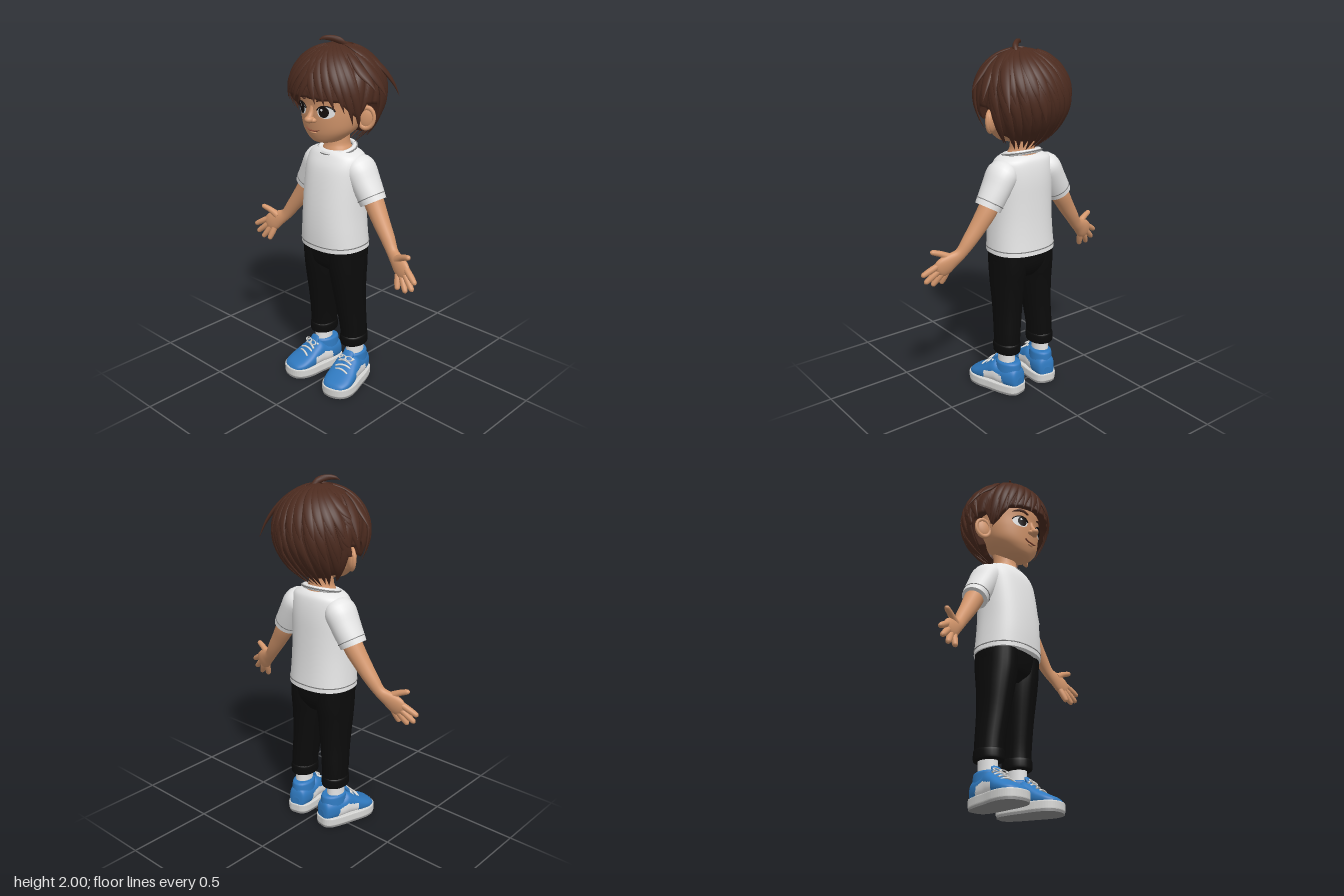
import * as THREE from 'three';
import { mergeGeometries } from 'three/addons/utils/BufferGeometryUtils.js';

const V = (x, y, z) => new THREE.Vector3(x, y, z);
const Y = V(0, 1, 0), Z = V(0, 0, 1);

const material = (name, color) => {
  const m = new THREE.MeshStandardMaterial({ color });
  m.name = name;
  return m;
};

// Smoothly resample rows of numbers
function dense(rows, sub) {
  const out = [], at = i => rows[Math.min(rows.length - 1, Math.max(0, i))];
  const cr = (a, b, c, d, t) => b + 0.5 * t * (c - a + t * (2 * a - 5 * b + 4 * c - d + t * (3 * (b - c) + d - a)));
  for (let i = 0; i < rows.length - 1; i++)
    for (let k = 0; k < sub; k++)
      out.push(rows[i].map((_, q) => cr(at(i - 1)[q], at(i)[q], at(i + 1)[q], at(i + 2)[q], k / sub)));
  out.push(rows[rows.length - 1]);
  return out;
}

// Closed skin over elliptical sections; each row is x, y, z, side radius, radius towards ref
function limb(rows, { sides = 24, n = 2, ref = Z, sub = 4, dir = null } = {}) {
  const r = dense(rows, sub), pos = [], idx = [], P = q => V(q[0], q[1], q[2]);
  const pw = c => Math.sign(c) * Math.abs(c) ** (2 / n);
  r.forEach((q, i) => {
    const t = dir || P(r[Math.min(i + 1, r.length - 1)]).sub(P(r[Math.max(i - 1, 0)])).normalize();
    const u = t.clone().cross(ref).normalize(), v = u.clone().cross(t);
    for (let j = 0; j < sides; j++) {
      const a = j / sides * Math.PI * 2;
      const p = P(q).addScaledVector(u, pw(Math.sin(a)) * Math.max(0, q[3])).addScaledVector(v, pw(Math.cos(a)) * Math.max(0, q[4]));
      pos.push(p.x, p.y, p.z);
    }
  });
  for (let i = 0; i < r.length - 1; i++)
    for (let j = 0; j < sides; j++) {
      const a = i * sides + j, b = i * sides + (j + 1) % sides;
      idx.push(a, b, a + sides, b, b + sides, a + sides);
    }
  for (const end of [0, r.length - 1]) {
    const base = pos.length / 3;
    pos.push(...pos.slice(end * sides * 3, (end + 1) * sides * 3), r[end][0], r[end][1], r[end][2]);
    for (let j = 0; j < sides; j++) {
      const a = base + j, b = base + (j + 1) % sides;
      idx.push(base + sides, end ? a : b, end ? b : a);
    }
  }
  return build(pos, idx);
}

function build(pos, idx) {
  const g = new THREE.BufferGeometry();
  g.setAttribute('position', new THREE.Float32BufferAttribute(pos, 3));
  g.setIndex(idx);
  g.computeVertexNormals();
  return g;
}

// Sort triangles into two material groups by their centre
function paint(g, rule) {
  const p = g.attributes.position, sets = [[], []], id = g.index.array;
  for (let i = 0; i < id.length; i += 3) {
    const t = [id[i], id[i + 1], id[i + 2]], mid = f => (f(t[0]) + f(t[1]) + f(t[2])) / 3;
    sets[rule(mid(k => p.getY(k)), mid(k => p.getZ(k))) ? 1 : 0].push(...t);
  }
  g.setIndex(sets.flat());
  g.addGroup(0, sets[0].length, 0);
  g.addGroup(sets[0].length, sets[1].length, 1);
  return g;
}

// Horizontal section from half width, front z and back z
const sec = (y, rx, f, b, x = 0) => [x, y, (f + b) / 2, rx, (f - b) / 2];
const ball = (x, y, z, a, b, c) => new THREE.SphereGeometry(1, 24, 16).scale(a, b, c).translate(x, y, z).deleteAttribute('uv');
const lerp = THREE.MathUtils.lerp;

const headRows = [sec(1.452, 0.03, 0.13, 0.05), sec(1.465, 0.08, 0.16, 0.01), sec(1.5, 0.127, 0.178, -0.04),
  sec(1.54, 0.16, 0.187, -0.09), sec(1.6, 0.18, 0.194, -0.14), sec(1.66, 0.19, 0.196, -0.17),
  sec(1.74, 0.195, 0.205, -0.2), sec(1.82, 0.18, 0.18, -0.18), sec(1.9, 0.11, 0.11, -0.11), sec(1.93, 0.02, 0.02, -0.02)];
const headFine = dense(headRows, 6);
function headZ(x, y) {
  const i = Math.max(1, headFine.findIndex(r => r[1] >= y)), a = headFine[i - 1], b = headFine[i];
  const t = (y - a[1]) / (b[1] - a[1]), q = a.map((v, k) => lerp(v, b[k], t));
  return q[2] + q[4] * Math.sqrt(Math.max(0, 1 - (x / q[3]) ** 2));
}
// Thin disc and thin line laid on the face
function facePatch(cx, cy, rx, ry, lift) {
  const g = new THREE.RingGeometry(0.001, 1, 32, 5).scale(rx, ry, 1).translate(cx, cy, 0), p = g.attributes.position;
  for (let i = 0; i < p.count; i++) p.setZ(i, headZ(p.getX(i), p.getY(i)) + lift);
  g.computeVertexNormals();
  return g;
}
const faceLine = pts => limb(pts.map(([x, y, w]) => [x, y, headZ(x, y) + 0.003, w, 0.006]), { sides: 10 });

// Hair surface: azimuth from the front, u from crown (0) to hem (1)
const hem = [[0, 1.715], [45, 1.7], [62, 1.63], [72, 1.6], [80, 1.68], [100, 1.67], [112, 1.53], [140, 1.49], [181, 1.48]];
function hairPoint(phi, u, grow = 1) {
  const d = Math.abs(Math.atan2(Math.sin(phi), Math.cos(phi))) * 180 / Math.PI;
  const i = hem.findIndex(h => h[0] > d), a = hem[i - 1], b = hem[i];
  const h = lerp(a[1], b[1], (d - a[0]) / (b[0] - a[0]));
  const y = h + (1.962 - h) * Math.cos(u * Math.PI / 2), e = y - 1.72;
  const k = e > 0 ? Math.sqrt(Math.max(0, 1 - (e / 0.2421) ** 2)) : Math.max(0.2, 1 - 10.5 * e * e);
  return V(0.25 * (e > 0 ? k : k ** 0.6) * Math.sin(phi) * grow, y, 0.25 * k * Math.cos(phi) * grow);
}
function hairCap() {
  const cols = 180, rows = 26, pos = [], idx = [];
  for (let i = 0; i <= rows + 1; i++)
    for (let j = 0; j < cols; j++) {
      const phi = j / cols * Math.PI * 2, u = Math.min(1, i / rows);
      const groove = (1 - Math.abs(Math.sin(11 * (phi + 0.5 * u) + Math.sin(3 * phi)))) ** 2;
      const p = hairPoint(phi, u, i > rows ? 0.72 : 1 - 0.05 * groove * Math.min(1, u * 3));
      pos.push(p.x, p.y + (i > rows ? 0.02 : 0), p.z);
    }
  for (let i = 0; i <= rows; i++)
    for (let j = 0; j < cols; j++) {
      const a = i * cols + j, b = i * cols + (j + 1) % cols;
      idx.push(a + cols, b + cols, a, b + cols, b, a);
    }
  return build(pos, idx);
}
// Tapered lock lying on the hair; flick lifts its tip
function lock(phi0, phi1, u0, u1, w, flick) {
  const rows = [], c = V(0, 1.7, 0), mid = hairPoint((phi0 + phi1) / 2, (u0 + u1) / 2).sub(c).normalize();
  for (let k = 0; k <= 7; k++) {
    const f = k / 7, p = hairPoint(lerp(phi0, phi1, f), lerp(u0, u1, f));
    p.addScaledVector(p.clone().sub(c).normalize(), 0.002 + flick * f ** 3);
    const s = w * (1 - f ** 2.2) * (0.3 + 1.1 * f);
    rows.push([p.x, p.y, p.z, s, s * 0.38]);
  }
  return limb(rows, { sides: 10, ref: mid, sub: 3 });
}

export function createModel() {
  const root = new THREE.Group();
  root.name = 'boy';
  const skin = material('skin', 0xd3966c), brown = material('hair brown', 0x4c2b1f), white = material('white', 0xe6e6e6),
    black = material('trouser black', 0x0b0b0b), blue = material('shoe blue', 0x2f79bf), soleWhite = material('sole white', 0xd6d6d4),
    grey = material('outsole grey', 0x8e8e8e), dark = material('eye dark', 0x120d0b), lip = material('lip', 0x8a4c38),
    seam = material('seam grey', 0x808080);
  const add = (name, geo, mat, parent = root) => {
    const m = new THREE.Mesh(geo, mat);
    m.name = name;
    parent.add(m);
  };

  // Head and neck
  add('head', limb(headRows, { sides: 48, dir: Y, sub: 6 }), skin);
  add('neck', limb([sec(1.36, 0.1, 0.09, -0.09), sec(1.405, 0.082, 0.075, -0.08), sec(1.44, 0.068, 0.066, -0.07), sec(1.53, 0.068, 0.06, -0.07)], { dir: Y }), skin);
  add('nose', mergeGeometries([ball(0, 1.592, 0.209, 0.024, 0.02, 0.03),
    ...[-1, 1].map(s => ball(s * 0.02, 1.587, 0.198, 0.014, 0.013, 0.016)),
    limb([[0, 1.66, 0.185, 0.014, 0.014], [0, 1.625, 0.195, 0.014, 0.015], [0, 1.595, 0.212, 0.017, 0.018]])]), skin);
  add('mouth', faceLine([[-0.048, 1.538, 0.001], [-0.025, 1.528, 0.003], [0, 1.527, 0.004], [0.025, 1.528, 0.003], [0.048, 1.538, 0.001]]), lip);
  add('lowerLip', ball(0, 1.517, 0.178, 0.025, 0.008, 0.011), skin);

  // Hair
  const rnd = (seed => () => (seed = (seed * 16807) % 2147483647) / 2147483647)(77);
  const locks = [];
  for (let i = 0; i < 13; i++) {
    const a = lerp(-1.15, 1.15, i / 12), away = a < 0.15 ? -0.3 : 0.3;
    locks.push(lock(a - away * 1.3, a + away * 0.4, 0.15, 1.03 + 0.07 * rnd(), 0.036, 0.012));
  }
  for (let layer = 0; layer < 3; layer++)
    for (let i = 0; i < 13; i++) {
      const a = lerp(1.75, 4.53, (i + layer * 0.33) / 12.66) + 0.08 * rnd();
      locks.push(lock(a - 0.25, a + 0.15, 0.15 + 0.12 * layer, 0.68 + 0.17 * layer + 0.05 * rnd(), 0.042, 0.016));
    }
  for (const s of [-1, 1])
    locks.push(lock(s * 1.2, s * 1.45, 0.3, 0.84, 0.045, 0.05), lock(s * 1.5, s * 1.75, 0.35, 0.9, 0.045, 0.045),
      lock(s * 1.0, s * 1.2, 0.4, 1.05, 0.035, 0.01), lock(s * 1.75, s * 2.0, 0.5, 1.04, 0.04, 0.02));
  locks.push(lock(1.9, 2.3, 0.2, 0.74, 0.045, 0.08), lock(2.7, 3.0, 0.4, 0.82, 0.04, 0.03));
  add('hair', hairCap(), brown);
  add('hairLocks', mergeGeometries(locks), brown);
  add('cowlick', limb([[0.05, 1.94, -0.02, 0.012, 0.012], [0.035, 1.972, 0.01, 0.018, 0.014], [0, 1.988, 0.04, 0.016, 0.01],
    [-0.035, 1.988, 0.065, 0.01, 0.007], [-0.055, 1.976, 0.08, 0.001, 0.001]], { sides: 10 }), brown);

  // Shirt body, collar and seams
  add('shirt', limb([sec(0.85, 0.195, 0.18, -0.148), sec(0.95, 0.188, 0.182, -0.14), sec(1.05, 0.182, 0.178, -0.135),
    sec(1.15, 0.18, 0.168, -0.133), sec(1.25, 0.18, 0.152, -0.132), sec(1.32, 0.178, 0.134, -0.126),
    sec(1.37, 0.165, 0.108, -0.115), sec(1.392, 0.13, 0.092, -0.1), sec(1.402, 0.095, 0.078, -0.085)], { sides: 48, n: 2.3, dir: Y }), white);
  add('hemSeam', limb([sec(0.873, 0.196, 0.183, -0.149), sec(0.878, 0.196, 0.183, -0.149)], { sides: 48, n: 2.3, dir: Y, sub: 1 }), seam);
  const neckRing = (r, w, y) => new THREE.TorusGeometry(r, w, 10, 48).rotateX(Math.PI / 2 + 0.2).scale(1, 1, 0.88).translate(0, y, 0);
  add('collar', neckRing(0.1, 0.013, 1.403), white);
  add('collarSeam', neckRing(0.116, 0.004, 1.403), seam);

  // Hips
  add('hips', limb([sec(0.7, 0.06, 0.08, -0.07), sec(0.74, 0.15, 0.125, -0.1), sec(0.79, 0.182, 0.14, -0.118), sec(0.87, 0.185, 0.15, -0.12)], { sides: 40, n: 2.4, dir: Y }), black);

  for (const s of [-1, 1]) {
    const side = s > 0 ? 'left' : 'right', flip = rows => rows.map(([x, ...q]) => [x * s, ...q]);
    const part = (name, rows, mat, o) => add(side + name, limb(flip(rows), o), mat);

    // Eye, brow and ear
    add(side + 'EyeWhite', facePatch(s * 0.084, 1.635, 0.043, 0.032, 0.003), white);
    add(side + 'Iris', facePatch(s * 0.077, 1.638, 0.026, 0.03, 0.006), dark);
    add(side + 'EyeGlint', facePatch(s * 0.077 - 0.009, 1.649, 0.006, 0.007, 0.008), white);
    add(side + 'Eyelid', faceLine([0, 1, 2, 3, 4, 5, 6].map(k => {
      const a = 0.25 + k * 0.44;
      return [s * 0.084 + 0.045 * Math.cos(a), 1.635 + 0.034 * Math.sin(a), 0.003];
    })), dark);
    add(side + 'Brow', faceLine(flip([[0.042, 1.692, 0.004], [0.075, 1.705, 0.009], [0.105, 1.703, 0.007], [0.132, 1.69, 0.001]])), brown);
    const ear = new THREE.Group();
    ear.name = side + 'Ear';
    ear.position.set(s * 0.203, 1.597, -0.005);
    ear.rotation.set(0, s * 0.55, -s * 0.15);
    root.add(ear);
    add(side + 'EarBody', ball(0, 0, 0, 0.045, 0.06, 0.02), skin, ear);
    add(side + 'EarRim', new THREE.TorusGeometry(0.045, 0.011, 10, 32).scale(0.9, 1.2, 1).translate(0, 0, 0.008), skin, ear);

    // Sleeve
    part('Sleeve', [[0.1, 1.34, -0.015, 0.04, 0.06], [0.142, 1.312, -0.018, 0.079, 0.095], [0.19, 1.235, -0.02, 0.077, 0.089], [0.247, 1.137, -0.02, 0.073, 0.074]], white, { sides: 32 });
    part('SleeveSeam', [[0.2305, 1.165, -0.02, 0.0765, 0.0805], [0.233, 1.161, -0.02, 0.0765, 0.08]], seam, { sides: 32, sub: 1 });

    // Arm, palm and fingers
    part('Arm', [[0.2, 1.22, -0.025, 0.055, 0.055], [0.25, 1.13, -0.025, 0.054, 0.055], [0.31, 1.04, -0.015, 0.047, 0.046],
      [0.365, 0.965, -0.005, 0.04, 0.038], [0.41, 0.905, 0.008, 0.034, 0.029], [0.455, 0.873, 0.024, 0.045, 0.028],
      [0.495, 0.845, 0.036, 0.055, 0.026], [0.525, 0.822, 0.044, 0.046, 0.019], [0.537, 0.813, 0.047, 0.02, 0.008]], skin);
    const fingers = [['Index', 0.535, 0.853, 0.62, 0.802], ['Middle', 0.522, 0.828, 0.602, 0.757], ['Ring', 0.503, 0.812, 0.557, 0.733],
      ['Little', 0.478, 0.808, 0.5, 0.733], ['Thumb', 0.46, 0.885, 0.568, 0.932]];
    for (const [name, x0, y0, x1, y1] of fingers) {
      const thumb = name === 'Thumb', z0 = thumb ? 0.03 : 0.042;
      const at = (f, r) => [lerp(x0, x1, f), lerp(y0, y1, f) + (thumb ? 0.008 * Math.sin(f * 3.1) : 0), z0 + 0.03 * f, r, r];
      part(name + 'Finger', [at(0, thumb ? 0.024 : 0.017), at(0.4, 0.0175), at(0.8, 0.015), at(0.93, 0.0115), at(1, 0.002)], skin, { sides: 14 });
    }

    // Trouser leg, cuff and sock
    part('TrouserLeg', [sec(0.255, 0.067, 0.066, -0.094, 0.12), sec(0.35, 0.069, 0.072, -0.094, 0.117), sec(0.5, 0.075, 0.095, -0.093, 0.106),
      sec(0.65, 0.086, 0.122, -0.1, 0.098), sec(0.75, 0.09, 0.138, -0.113, 0.094), sec(0.86, 0.09, 0.145, -0.115, 0.094)], black, { dir: Y, n: 2.2 });
    part('Cuff', [sec(0.245, 0.068, 0.068, -0.096, 0.12), sec(0.255, 0.074, 0.074, -0.1, 0.12), sec(0.295, 0.074, 0.074, -0.1, 0.12), sec(0.305, 0.068, 0.068, -0.096, 0.12)], black, { dir: Y });
    part('Sock', [sec(0.1, 0.047, 0.045, -0.075, 0.125), sec(0.2, 0.045, 0.042, -0.072, 0.125), sec(0.28, 0.047, 0.042, -0.074, 0.125)], white, { dir: Y });

    // Shoe, toe turned out
    const shoe = new THREE.Group();
    shoe.name = side + 'Shoe';
    shoe.position.x = s * 0.125;
    shoe.rotation.y = s * 0.2;
    root.add(shoe);
    const prof = [[-0.118, 0.1, 0.025], [-0.105, 0.15, 0.05], [-0.06, 0.165, 0.066], [0, 0.165, 0.073], [0.04, 0.183, 0.076],
      [0.08, 0.162, 0.08], [0.13, 0.127, 0.086], [0.18, 0.1, 0.083], [0.22, 0.08, 0.062], [0.238, 0.06, 0.03]];
    const upper = limb(prof.map(([z, top, r]) => [0, (top + 0.03) / 2, z, r, (top - 0.03) / 2]), { sides: 64, n: 2.4, ref: Y, dir: Z, sub: 8 });
    add('upper', paint(upper, (y, z) => y < 0.122 - 0.25 * Math.abs(z - 0.03) && z > -0.04 + 0.2 * (y - 0.05) && z < 0.1), [blue, white], shoe);
    add('ankleCollar', limb([sec(0.11, 0.066, 0.06, -0.112), sec(0.165, 0.062, 0.055, -0.108), sec(0.182, 0.059, 0.052, -0.104), sec(0.19, 0.05, 0.042, -0.092)], { dir: Y }), blue, shoe);
    add('tongue', limb([[0, 0.13, 0.09, 0.038, 0.02], [0, 0.175, 0.06, 0.036, 0.016], [0, 0.202, 0.045, 0.03, 0.01], [0, 0.206, 0.042, 0.01, 0.003]]), blue, shoe);
    const laces = [[0.066, 0.18], [0.088, 0.164], [0.111, 0.147], [0.134, 0.13]].map(([z, y], i) => limb(
      [-1, -0.5, 0, 0.5, 1].map(k => [k * 0.045, y - 0.014 * k * k, z + 0.006 * k * (i % 2 ? 1 : -1), 0.006, 0.005]), { sides: 10, ref: Y }));
    for (const k of [-1, 1])
      laces.push(new THREE.TorusGeometry(0.018, 0.004, 8, 20).scale(1.3, 0.7, 1).rotateX(-0.7).translate(k * 0.022, 0.178, 0.082).deleteAttribute('uv'));
    add('laces', mergeGeometries(laces), soleWhite, shoe);

    // Sole outline shared by midsole and outsole
    const half = [[0.035, -0.118], [0.062, -0.09], [0.078, -0.02], [0.086, 0.06], [0.094, 0.13], [0.086, 0.19], [0.055, 0.23]];
    const pts = [[0, -0.122], ...half, [0, 0.244], ...half.slice().reverse().map(([x, z]) => [-x, z]), [0, -0.122]].map(q => new THREE.Vector2(...q));
    const outline = new THREE.Shape().moveTo(pts[0].x, pts[0].y).splineThru(pts.slice(1));
    const slab = (depth, bevel, y) => new THREE.ExtrudeGeometry(outline, { depth, curveSegments: 4, bevelEnabled: bevel > 0,
      bevelSize: bevel * 0.5, bevelThickness: bevel, bevelSegments: 3 }).rotateX(Math.PI / 2).translate(0, y, 0);
    add('midsole', slab(0.032, 0.007, 0.05), soleWhite, shoe);
    add('outsole', slab(0.012, 0, 0.012), grey, shoe);
  }
  return root;
}
